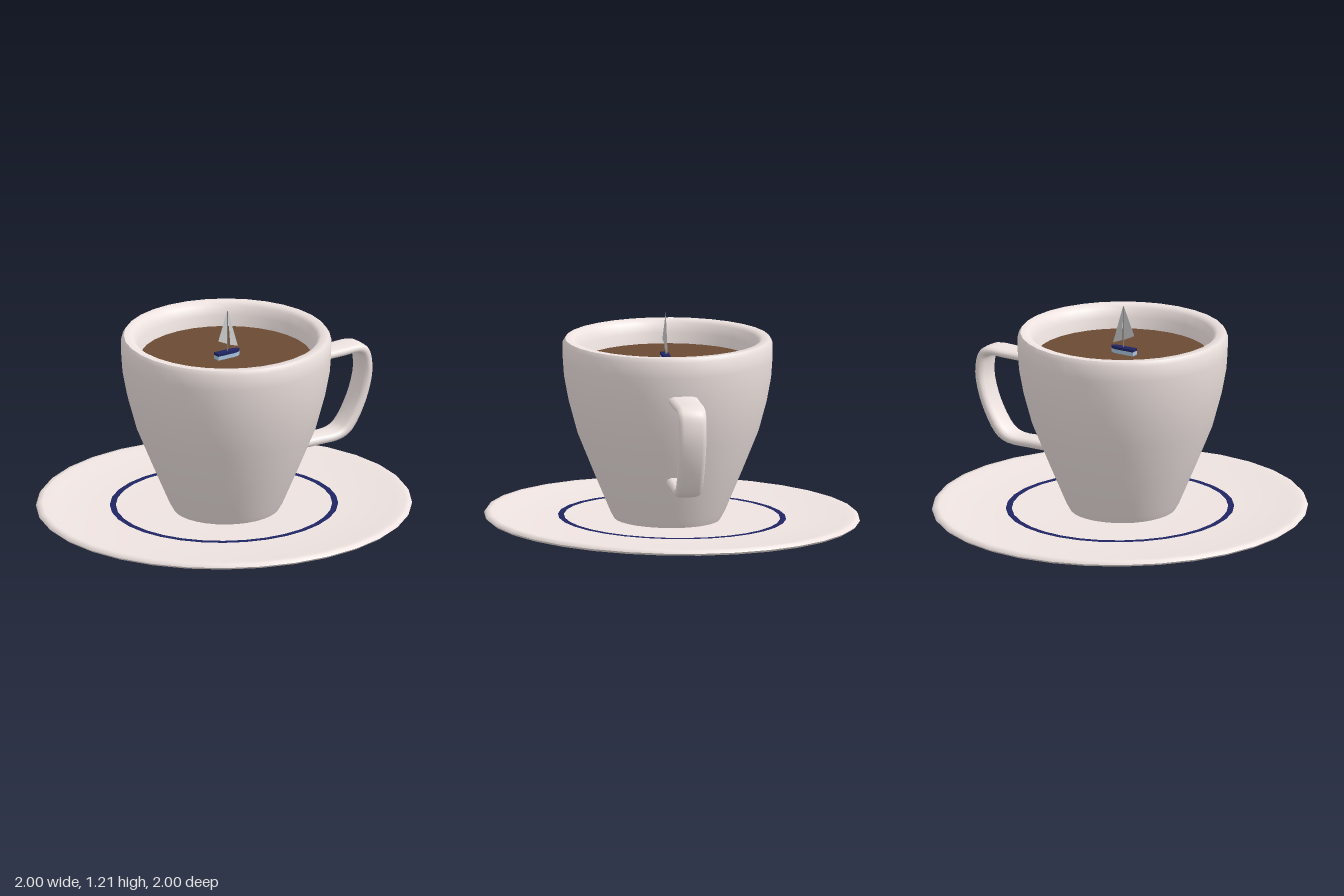
import * as THREE from 'three';
import { toCreasedNormals } from 'three/addons/utils/BufferGeometryUtils.js';

const paint = (color, extra = {}) => new THREE.MeshStandardMaterial({ color, ...extra });
const china = paint(0xeee3e0);
const navy = paint(0x1f2563);

function add(parent, name, geometry, material) {
  const mesh = new THREE.Mesh(geometry, material);
  mesh.name = name;
  parent.add(mesh);
  return mesh;
}

// Turned body with smooth sides and sharp edges where the profile bends hard
function turned(profile, crease) {
  const points = profile.map(([r, y]) => new THREE.Vector2(r, y));
  return toCreasedNormals(new THREE.LatheGeometry(points, 32), crease);
}

// Band swept between an outer and an inner outline, with a rounded section
function handleGeometry(outer, inner, steps = 36, sides = 12) {
  const curve = (pts) => new THREE.CatmullRomCurve3(
    pts.map(([x, y]) => new THREE.Vector3(x, y, 0)), false, 'centripetal');
  const a = curve(outer), b = curve(inner);
  const positions = [], index = [];
  const rounded = (v) => Math.sign(v) * Math.pow(Math.abs(v), 0.65);
  for (let i = 0; i <= steps; i++) {
    const t = i / steps;
    const o = a.getPoint(t), n = b.getPoint(t);
    const half = 0.08 - 0.012 * t;
    for (let j = 0; j < sides; j++) {
      const angle = (j / sides) * Math.PI * 2;
      const p = n.clone().lerp(o, 0.5 + 0.5 * rounded(Math.cos(angle)));
      positions.push(p.x, p.y, half * rounded(Math.sin(angle)));
      if (i < steps) {
        const k = (j + 1) % sides;
        const p0 = i * sides + j, p1 = i * sides + k;
        index.push(p0, p1, p0 + sides, p1, p1 + sides, p0 + sides);
      }
    }
  }
  const g = new THREE.BufferGeometry();
  g.setAttribute('position', new THREE.Float32BufferAttribute(positions, 3));
  g.setIndex(index);
  g.computeVertexNormals();
  return g;
}

// Flat triangular sail
function sailGeometry(corners) {
  const g = new THREE.BufferGeometry();
  g.setAttribute('position', new THREE.Float32BufferAttribute(corners.flat(), 3));
  g.computeVertexNormals();
  return g;
}

// Boat outline in plan, extruded upwards, bow towards +x
function hullGeometry(height) {
  const s = new THREE.Shape();
  s.moveTo(-0.07, -0.02);
  s.lineTo(0.03, -0.02);
  s.quadraticCurveTo(0.065, -0.018, 0.078, 0);
  s.quadraticCurveTo(0.065, 0.018, 0.03, 0.02);
  s.lineTo(-0.07, 0.02);
  s.closePath();
  return new THREE.ExtrudeGeometry(s, { depth: height, bevelEnabled: false, curveSegments: 5 })
    .rotateX(-Math.PI / 2);
}

export function createModel() {
  const model = new THREE.Group();
  model.name = 'cupAndSaucer';

  // Saucer, resting at a very slight tilt
  const saucer = new THREE.Group();
  saucer.name = 'saucerGroup';
  saucer.rotation.x = -0.0165;
  model.add(saucer);
  add(saucer, 'saucer', turned([
    [0, 0.008], [0.44, 0.008], [0.72, 0.048], [0.985, 0.087], [1, 0.1],
    [0.99, 0.115], [0.965, 0.117], [0.92, 0.108], [0.6, 0.095], [0, 0.092],
  ], 1.2), china);

  // Painted ring on the saucer
  const ring = add(saucer, 'saucerRing', new THREE.RingGeometry(0.575, 0.607, 32), navy);
  ring.rotation.x = -Math.PI / 2;
  ring.position.y = 0.1;

  // Cup and its contents
  const cup = new THREE.Group();
  cup.name = 'cupGroup';
  cup.position.set(-0.002, 0, 0.022);
  model.add(cup);
  add(cup, 'cupBody', turned([
    [0, 0.09], [0.28, 0.09], [0.305, 0.135], [0.395, 0.35], [0.484, 0.57], [0.527, 0.73],
    [0.551, 0.86], [0.558, 0.96], [0.559, 1.045], [0.545, 1.068], [0.505, 1.068],
    [0.486, 1.05], [0.47, 1.0], [0.452, 0.92], [0.42, 0.72], [0.36, 0.5],
    [0.25, 0.22], [0, 0.18],
  ], 0.95), china);

  const coffee = add(cup, 'coffee', new THREE.CircleGeometry(0.458, 32), paint(0x6b4a34));
  coffee.rotation.x = -Math.PI / 2;
  coffee.position.y = 0.945;

  // Handle
  add(cup, 'handle', handleGeometry(
    [[0.5, 0.862], [0.7, 0.862], [0.83, 0.86], [0.875, 0.83], [0.897, 0.75], [0.893, 0.66],
      [0.85, 0.52], [0.77, 0.385], [0.7, 0.345], [0.55, 0.338], [0.36, 0.338]],
    [[0.5, 0.815], [0.7, 0.815], [0.8, 0.815], [0.828, 0.8], [0.843, 0.74], [0.84, 0.66],
      [0.795, 0.53], [0.715, 0.415], [0.66, 0.392], [0.55, 0.392], [0.36, 0.395]],
  ), china);

  // Toy sailing boat afloat on the coffee
  const boat = new THREE.Group();
  boat.name = 'boat';
  boat.position.set(0, 0.945, 0.01);
  cup.add(boat);
  add(boat, 'hull', hullGeometry(0.022), paint(0xa9c4dc));
  const deck = add(boat, 'deck', hullGeometry(0.014), navy);
  deck.position.y = 0.022;
  const mast = add(boat, 'mast', new THREE.CylinderGeometry(0.002, 0.003, 0.225, 6), paint(0x8a8a8a));
  mast.position.set(0.002, 0.148, 0);
  const canvas = paint(0xcccccc, { side: THREE.DoubleSide });
  add(boat, 'mainSail', sailGeometry([[-0.062, 0.105, 0.008], [0, 0.075, 0], [0, 0.263, 0]]), canvas);
  add(boat, 'frontSail', sailGeometry([[0.014, 0.07, 0.008], [0.068, 0.05, 0], [0.004, 0.263, 0]]), canvas);

  return model;
}
